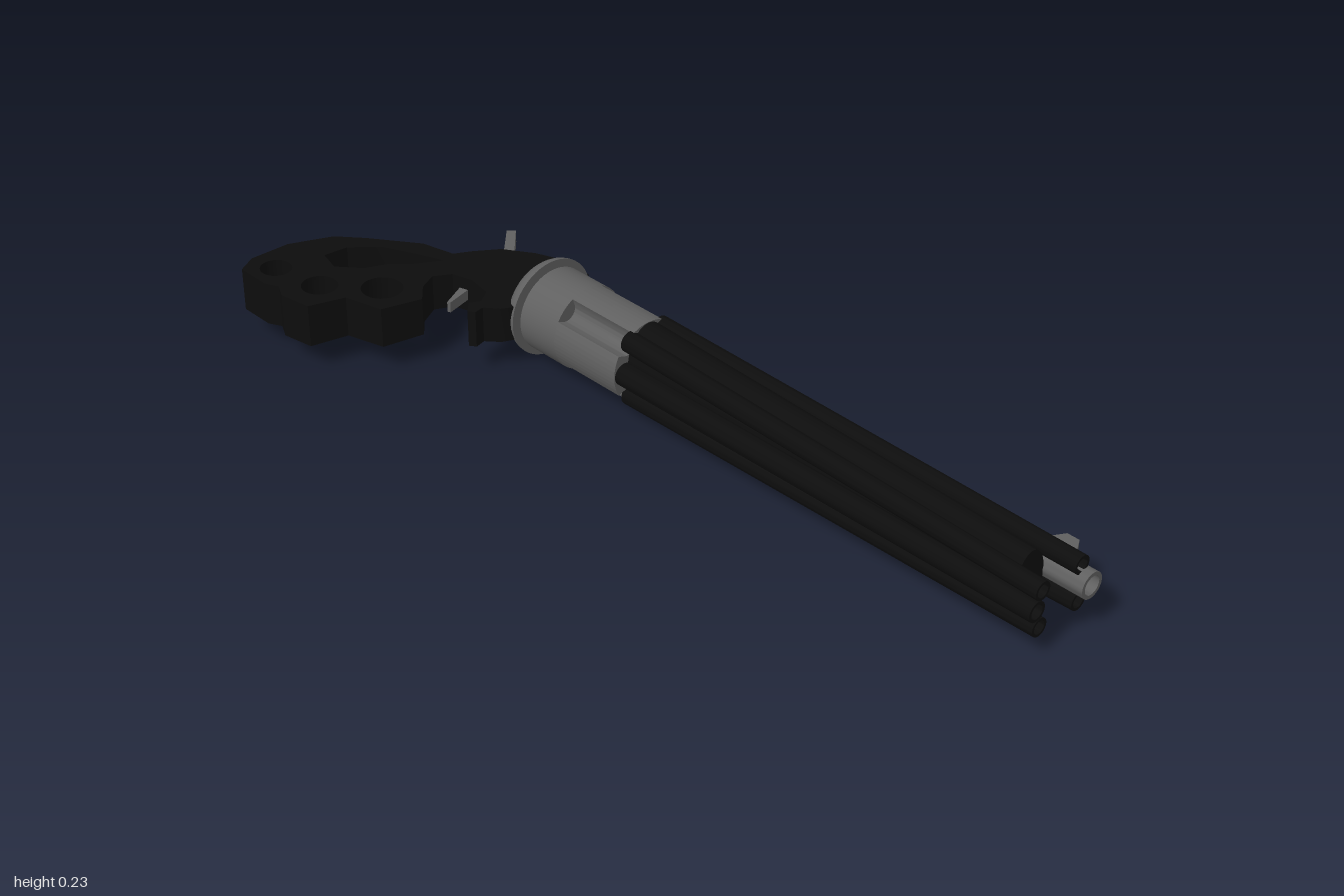
import * as THREE from 'three';
import { toCreasedNormals } from 'three/addons/utils/BufferGeometryUtils.js';

const AXIS_Y = 0.115, AXIS_Z = -0.152;
const steel = new THREE.MeshStandardMaterial({ color: 0x606060, side: THREE.DoubleSide });
const black = new THREE.MeshStandardMaterial({ color: 0x0d0d0d, side: THREE.DoubleSide });
const vecs = (pts) => pts.map(([a, b]) => new THREE.Vector2(a, b));

export function createModel() {
  const model = new THREE.Group();

  function add(name, geometry, material) {
    const mesh = new THREE.Mesh(toCreasedNormals(geometry, 0.6), material);
    mesh.name = name;
    model.add(mesh);
    return mesh;
  }

  // Plate drawn in x and z, with its thickness along y
  function plate(shape, thickness) {
    return new THREE.ExtrudeGeometry(shape, { depth: thickness, bevelEnabled: false, curveSegments: 20 })
      .translate(0, 0, -thickness / 2).rotateX(Math.PI / 2).translate(0, AXIS_Y, 0);
  }

  // Turned part along x; profile points are [radius, x]
  function turned(profile, segments = 48) {
    return new THREE.LatheGeometry(vecs(profile), segments).rotateZ(-Math.PI / 2);
  }

  // Bored barrel running between two offsets [y, z] from the axis
  function barrel(name, from, to, r0, r1, x1, material) {
    const x0 = -0.15, bore = r1 * 0.72;
    const g = turned([[0, x0], [r0, x0], [r1, x1], [bore, x1], [bore, x1 - 0.15], [0, x1 - 0.15]], 24);
    const p = g.attributes.position;
    for (let i = 0; i < p.count; i++) {
      const t = (p.getX(i) - x0) / (x1 - x0);
      p.setY(i, p.getY(i) + AXIS_Y + THREE.MathUtils.lerp(from[0], to[0], t));
      p.setZ(i, p.getZ(i) + AXIS_Z + THREE.MathUtils.lerp(from[1], to[1], t));
    }
    add(name, g, material);
  }

  // Recoil shield: shallow dome with a flat front
  const dome = [];
  for (let i = 0; i <= 12; i++) {
    const a = (i / 12) * Math.PI / 2;
    dome.push([0.114 * Math.sin(a), -0.447 - 0.064 * Math.cos(a)]);
  }
  dome.push([0, -0.447]);
  add('recoilShield', turned(dome).translate(0, AXIS_Y, AXIS_Z), steel);

  // Arbor joining the shield and the cylinder
  add('arbor', turned([[0, -0.46], [0.03, -0.46], [0.03, -0.43], [0, -0.43]], 24)
    .translate(0, AXIS_Y, AXIS_Z), steel);

  // Cylinder: plain rear drum and fluted front
  add('cylinderRear', turned([[0, -0.44], [0.098, -0.44], [0.098, -0.33], [0, -0.33]])
    .translate(0, AXIS_Y, AXIS_Z), steel);
  const fluted = [], fluteAngle = 0.83, d = 0.09, rf = 0.025;
  for (let i = 0; i < 240; i++) {
    const a = (i / 240) * Math.PI * 2;
    let r = 0.098;
    for (const f of [fluteAngle, Math.PI - fluteAngle, Math.PI + fluteAngle, -fluteAngle]) {
      const k = rf * rf - (d * Math.sin(a - f)) ** 2;
      if (k > 0 && Math.cos(a - f) > 0) r = Math.min(r, d * Math.cos(a - f) - Math.sqrt(k));
    }
    fluted.push(new THREE.Vector2(r * Math.cos(a), r * Math.sin(a)));
  }
  add('cylinderFluted', new THREE.ExtrudeGeometry(new THREE.Shape(fluted), { depth: 0.19, bevelEnabled: false })
    .rotateY(Math.PI / 2).translate(-0.33, AXIS_Y, AXIS_Z), steel);

  // Core between the barrels, narrowing in height only
  add('barrelCore', turned([[0, -0.14], [0.097, -0.14], [0.065, 0.905], [0, 0.905]], 32)
    .scale(1, 1, 0.62).translate(0, AXIS_Y, AXIS_Z), black);

  // Barrels: long steel one under the sight, black ones around
  barrel('mainBarrel', [0, -0.068], [0, -0.068], 0.03, 0.03, 1.0, steel);
  barrel('outerBarrel', [0, 0.07], [0, 0.07], 0.026, 0.023, 0.98, black);
  for (const sy of [-1, 1]) {
    for (const sz of [-1, 1]) {
      barrel('cornerBarrel', [sy * 0.066, sz * 0.045], [sy * 0.043, sz * 0.058], 0.024, 0.021, 0.98, black);
    }
  }

  // Front sight
  add('frontSight', plate(new THREE.Shape(vecs([[0.84, -0.24], [0.875, -0.3], [0.905, -0.3], [0.94, -0.24]])), 0.03), steel);

  // Frame and knuckle grip, with an open trigger guard
  const grip = new THREE.Shape(vecs([
    [-0.45, -0.265], [-0.53, -0.27], [-0.6, -0.24], [-0.665, -0.195], [-0.7, -0.14], [-0.72, -0.1],
    [-0.8, -0.08], [-0.905, 0], [-0.96, 0.05], [-1, 0.15], [-1, 0.25], [-0.975, 0.295], [-0.89, 0.295],
    [-0.86, 0.28], [-0.825, 0.298], [-0.75, 0.285], [-0.725, 0.2], [-0.635, 0.175], [-0.61, 0.08],
    [-0.65, 0.045], [-0.672, 0], [-0.65, -0.04], [-0.6, -0.055], [-0.54, -0.045], [-0.518, -0.01],
    [-0.53, 0.015], [-0.505, 0.04], [-0.49, 0.03], [-0.495, 0.005], [-0.465, -0.02], [-0.45, -0.05]]));
  grip.holes.push(new THREE.Path(vecs([
    [-0.905, 0.12], [-0.9, 0.06], [-0.85, 0], [-0.77, -0.04], [-0.71, -0.065],
    [-0.745, 0], [-0.78, 0.04], [-0.8, 0.09], [-0.85, 0.135]])));
  for (const [x, z, r] of [[-0.705, 0.115, 0.047], [-0.805, 0.21, 0.041], [-0.93, 0.235, 0.036]]) {
    grip.holes.push(new THREE.Path().absarc(x, z, r, 0, Math.PI * 2, true));
  }
  const gripGeometry = plate(grip, 2);
  const p = gripGeometry.attributes.position;
  for (let i = 0; i < p.count; i++) {
    // Grip thickens gently towards its butt
    const half = 0.042 + 0.02 * (p.getZ(i) + 0.04) / 0.7;
    p.setY(i, AXIS_Y + Math.sign(p.getY(i) - AXIS_Y) * half);
  }
  add('knuckleGrip', gripGeometry, black);

  // Hammer spur and trigger
  add('hammer', plate(new THREE.Shape(vecs([
    [-0.75, -0.285], [-0.735, -0.3], [-0.645, -0.215], [-0.66, -0.195]])), 0.03), steel);
  add('trigger', plate(new THREE.Shape(vecs([
    [-0.64, -0.06], [-0.615, -0.06], [-0.598, 0.012], [-0.605, 0.015]])), 0.025), steel);

  return model;
}
